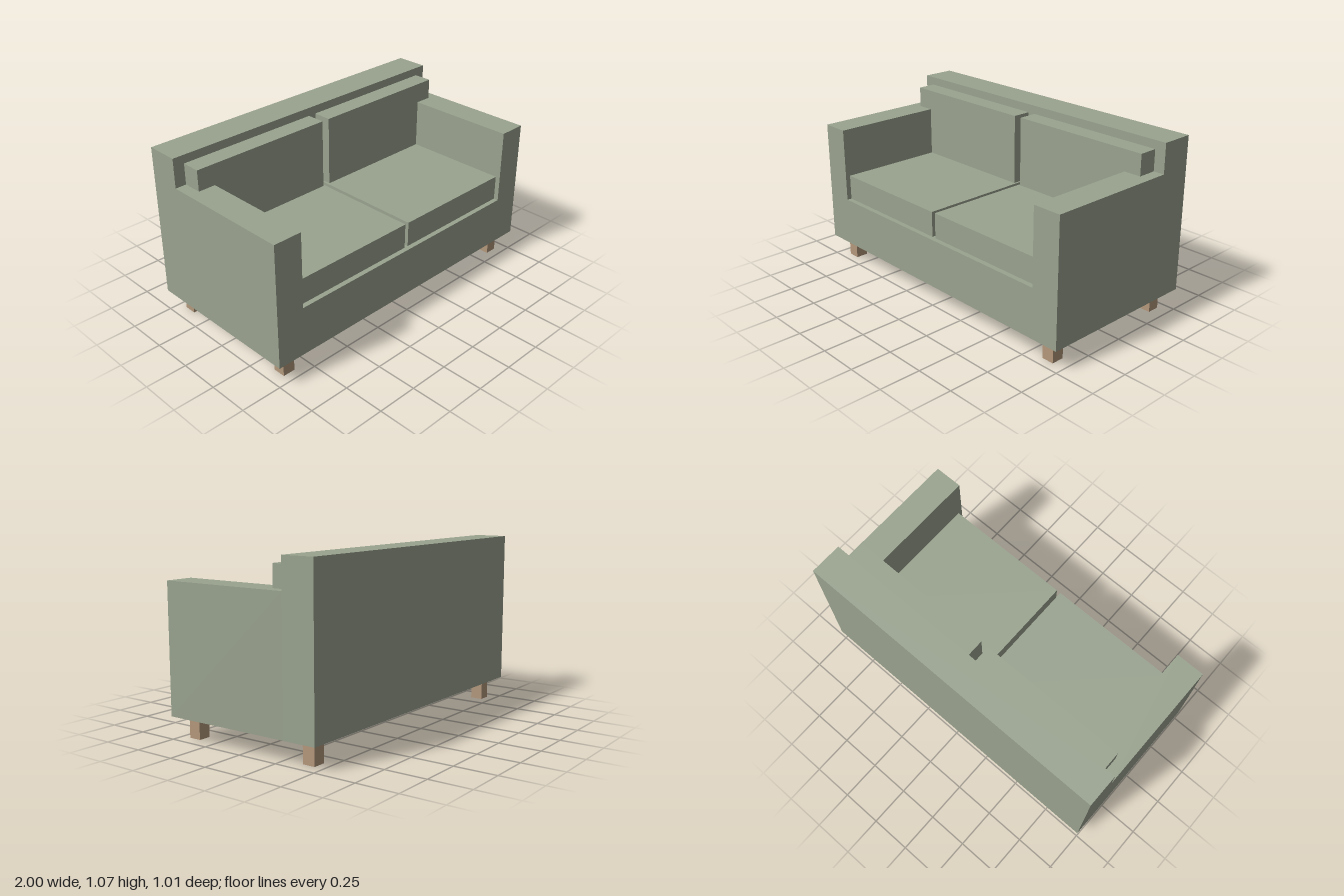
import * as THREE from 'three';

export function createModel() {
  const model = new THREE.Group();
  model.name = 'sofa';
  const fabric = new THREE.MeshStandardMaterial({ color: 0x9aa38f });
  fabric.name = 'sage fabric';
  const wood = new THREE.MeshStandardMaterial({ color: 0xb4987c });
  wood.name = 'light wood';

  const add = (name, geometry, material) => {
    const mesh = new THREE.Mesh(geometry, material);
    mesh.name = name;
    model.add(mesh);
  };
  // Box given by its lower and upper limits on each axis
  const box = (name, [x0, x1], [y0, y1], [z0, z1], material) => {
    const g = new THREE.BoxGeometry(x1 - x0, y1 - y0, z1 - z0);
    g.translate((x0 + x1) / 2, (y0 + y1) / 2, (z0 + z1) / 2);
    add(name, g, material);
  };
  // Front outline extruded from z0 to z1
  const slab = (name, points, z0, z1) => {
    const shape = new THREE.Shape(points.map(([x, y]) => new THREE.Vector2(x, y)));
    const g = new THREE.ExtrudeGeometry(shape, { depth: z1 - z0, bevelEnabled: false });
    g.translate(0, 0, z0);
    add(name, g, fabric);
  };

  // Base and both arms as one U-shaped body, closed by the tall back
  slab('baseAndArms', [
    [-1, 0.13], [1, 0.13], [1, 0.888], [0.825, 0.888],
    [0.825, 0.43], [-0.825, 0.43], [-0.825, 0.888], [-1, 0.888],
  ], -0.306, 0.506);
  box('backrest', [-1, 1], [0.13, 1.066], [-0.506, -0.306], fabric);

  for (const side of [-1, 1]) {
    const label = side > 0 ? 'left' : 'right';
    const span = (a, b) => (side > 0 ? [a, b] : [-b, -a]);

    // Seat cushion, set back slightly from the front edge
    box(label + 'SeatCushion', span(0.013, 0.825), [0.43, 0.585], [-0.306, 0.476], fabric);

    // Back cushion with an ear that rests on the arm
    slab(label + 'BackCushion', [
      [0.025, 0.585], [0.825, 0.585], [0.825, 0.888],
      [0.932, 0.888], [0.932, 1.015], [0.025, 1.015],
    ].map(([x, y]) => [side * x, y]), -0.306, -0.19);

    // Square legs
    for (const front of [true, false]) {
      box(label + (front ? 'FrontLeg' : 'BackLeg'), span(0.847, 0.923), [0, 0.13],
        front ? [0.368, 0.444] : [-0.444, -0.368], wood);
    }
  }
  return model;
}
